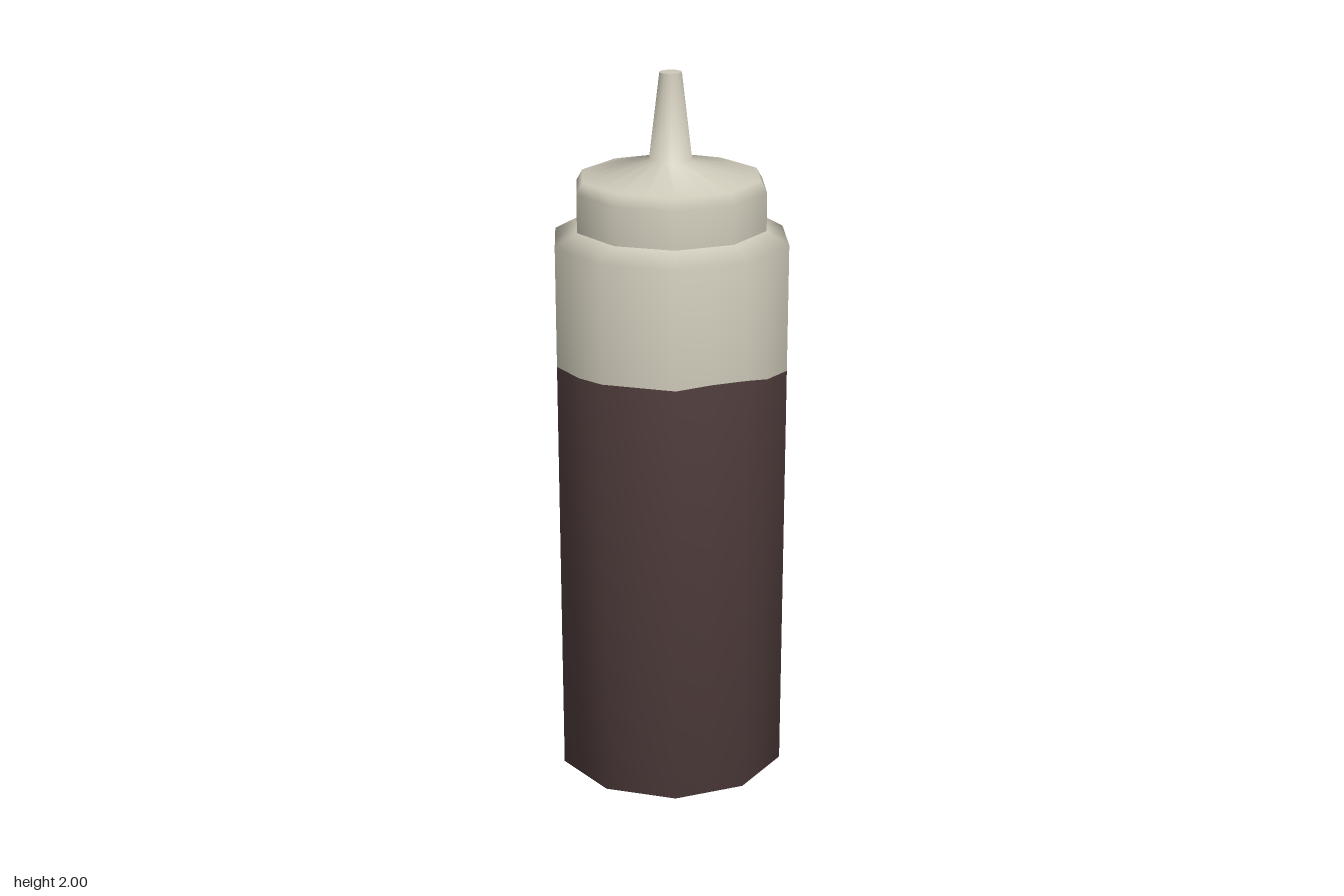
import * as THREE from 'three';

const SIDES = 10;
const COLUMNS = SIDES * 2; // corners plus the middle of each flat side

// Height of the fill line around the bottle, from +x through -z, -x and +z
const FILL = [1.195, 1.2, 1.22, 1.22, 1.22, 1.215, 1.22, 1.22, 1.215, 1.19,
  1.17, 1.19, 1.215, 1.21, 1.22, 1.22, 1.22, 1.225, 1.225, 1.2];

// Smooth-shaded ten-sided turned part; wavyRow is the profile point that follows the fill line
function turned(name, profile, material, wavyRow = -1) {
  const points = profile.map(([r, y]) => new THREE.Vector2(r, y));
  const geometry = new THREE.LatheGeometry(points, COLUMNS, Math.PI / 2);
  const pos = geometry.attributes.position;
  const inset = Math.cos(Math.PI / SIDES);
  for (let i = 0; i < pos.count; i++) {
    const column = Math.floor(i / points.length);
    if (column % 2) { // pull the in-between columns onto the flat sides
      pos.setX(i, pos.getX(i) * inset);
      pos.setZ(i, pos.getZ(i) * inset);
    }
    if (i % points.length === wavyRow) pos.setY(i, FILL[column % COLUMNS]);
  }
  const mesh = new THREE.Mesh(geometry, material);
  mesh.name = name;
  return mesh;
}

export function createModel() {
  const cream = new THREE.MeshStandardMaterial({ color: 0xcdc8b8 });
  cream.name = 'cream plastic';
  const brown = new THREE.MeshStandardMaterial({ color: 0x523f3e });
  brown.name = 'brown sauce';

  const bottle = new THREE.Group();
  bottle.name = 'squeezeBottle';
  bottle.add(
    // Filled lower body with its base
    turned('sauceBody', [[0, 0], [0.33, 0], [0.33, 1.2]], brown, 2),
    // Empty upper body and sloping shoulder
    turned('upperBody', [[0.33, 1.2], [0.33, 1.55], [0.267, 1.585]], cream, 0),
    // Screw cap with a bevelled edge, rising into the nozzle
    turned('capAndNozzle', [[0.267, 1.585], [0.267, 1.69], [0.25, 1.72],
      [0.06, 1.767], [0.031, 2]], cream),
    // Flat nozzle end
    turned('nozzleTip', [[0.031, 2], [0, 2]], cream),
  );
  return bottle;
}
